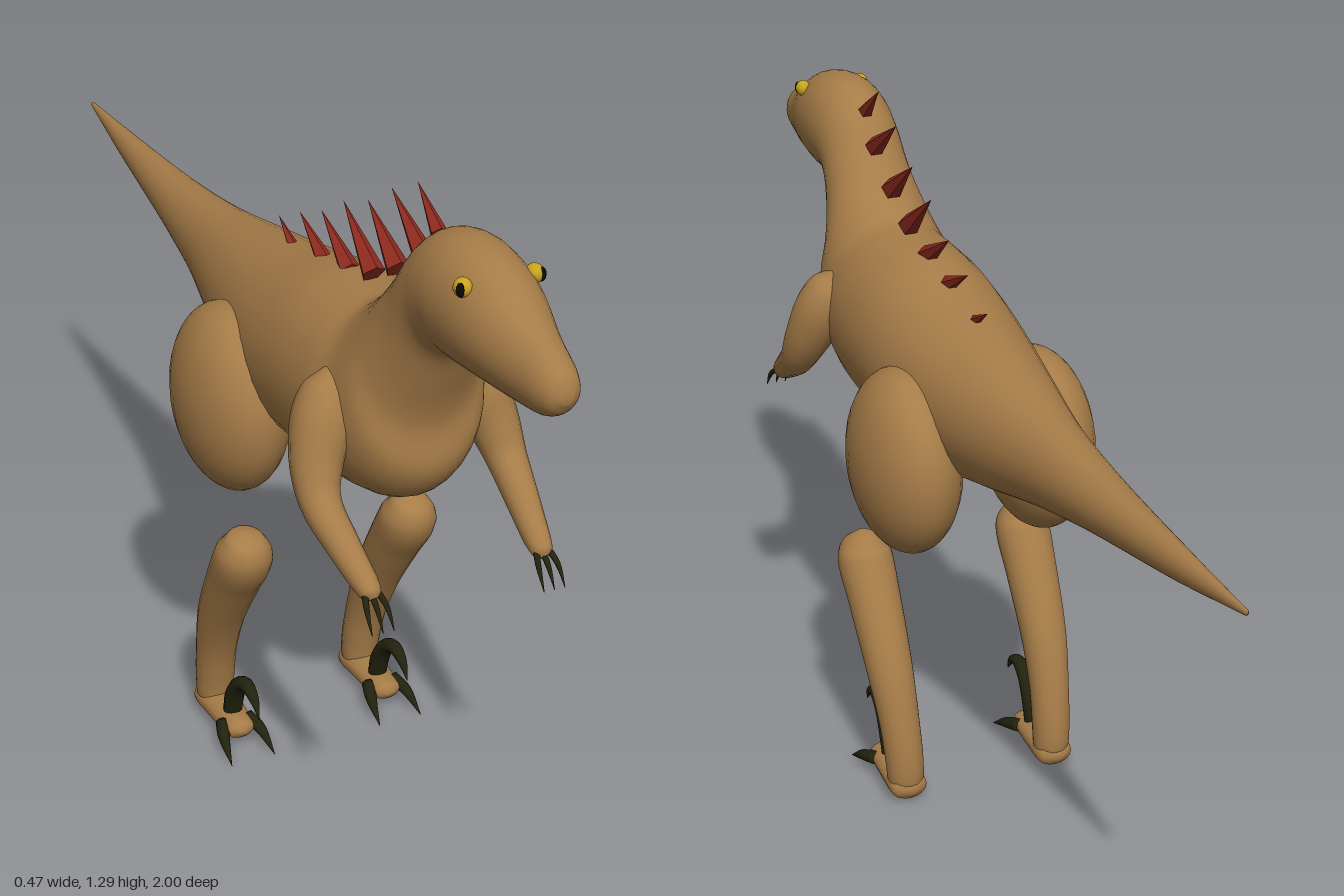
import * as THREE from 'three';

const V = (x, y, z) => new THREE.Vector3(x, y, z);
const mat = (name, color) => Object.assign(new THREE.MeshStandardMaterial({ color }), { name });

// Skin a list of rings {c, u, v} (centre and two radius vectors) into a closed smooth surface
function skinRings(rings, sides) {
  const pos = [], idx = [], n = rings.length;
  for (const { c, u, v } of rings) {
    for (let j = 0; j < sides; j++) {
      const a = (j / sides) * Math.PI * 2;
      const p = c.clone().addScaledVector(u, Math.cos(a)).addScaledVector(v, Math.sin(a));
      pos.push(p.x, p.y, p.z);
    }
  }
  const first = n * sides, last = first + 1;
  pos.push(...rings[0].c.toArray(), ...rings[n - 1].c.toArray());
  for (let j = 0; j < sides; j++) {
    const k = (j + 1) % sides;
    for (let i = 0; i < n - 1; i++) {
      const a = i * sides + j, b = i * sides + k;
      idx.push(a, b, a + sides, b, b + sides, a + sides);
    }
    idx.push(first, k, j, last, (n - 1) * sides + j, (n - 1) * sides + k);
  }
  const g = new THREE.BufferGeometry();
  g.setAttribute('position', new THREE.Float32BufferAttribute(pos, 3));
  g.setIndex(idx);
  g.computeVertexNormals();
  return g;
}

// Tapered round limb through points [x, y, z, radius]; wide stretches it sideways
function limb(points, steps = 24, sides = 16, wide = 1) {
  const path = new THREE.CatmullRomCurve3(points.map(p => V(p[0], p[1], p[2])));
  const radius = new THREE.CatmullRomCurve3(points.map((p, i) => V(p[3], i * 0.05, 0)));
  const rings = [];
  for (let i = 0; i <= steps; i++) {
    const t = i / steps, d = path.getTangent(t), r = Math.max(radius.getPoint(t).x, 0.0005);
    const u = d.clone().cross(V(1, 0, 0)).normalize();
    const v = d.clone().cross(u).normalize();
    rings.push({ c: path.getPoint(t), u: u.multiplyScalar(r), v: v.multiplyScalar(r * wide) });
  }
  return skinRings(rings, sides);
}

// Body sections from tail to snout: top z, top y, bottom z, bottom y, half width
const BODY = [
  [-0.998, 0.903, -0.998, 0.893, 0.004], [-0.8, 0.907, -0.8, 0.852, 0.022],
  [-0.5, 0.916, -0.5, 0.803, 0.05], [-0.3, 0.935, -0.3, 0.76, 0.073],
  [-0.1, 0.968, -0.1, 0.71, 0.112], [0.1, 1.005, 0.1, 0.67, 0.148],
  [0.26, 1.042, 0.26, 0.678, 0.155], [0.37, 1.05, 0.43, 0.695, 0.152],
  [0.42, 1.055, 0.545, 0.73, 0.14], [0.455, 1.075, 0.592, 0.795, 0.128],
  [0.5, 1.115, 0.59, 0.885, 0.108], [0.545, 1.17, 0.62, 0.975, 0.09],
  [0.59, 1.23, 0.655, 1.045, 0.083], [0.64, 1.264, 0.69, 1.065, 0.084],
  [0.71, 1.277, 0.725, 1.066, 0.085], [0.8, 1.26, 0.8, 1.072, 0.077],
  [0.9, 1.21, 0.9, 1.078, 0.053], [0.965, 1.183, 0.96, 1.086, 0.04],
  [0.99, 1.165, 0.985, 1.1, 0.029], [1.0, 1.142, 1.0, 1.122, 0.01],
];

function bodyGeometry() {
  const top = new THREE.CatmullRomCurve3(BODY.map(s => V(0, s[1], s[0])));
  const bottom = new THREE.CatmullRomCurve3(BODY.map(s => V(0, s[3], s[2])));
  const width = new THREE.CatmullRomCurve3(BODY.map((s, i) => V(s[4], i * 0.1, 0)));
  const rings = [], steps = 95;
  for (let i = 0; i <= steps; i++) {
    const t = i / steps, a = top.getPoint(t), b = bottom.getPoint(t);
    rings.push({
      c: a.clone().add(b).multiplyScalar(0.5),
      u: a.clone().sub(b).multiplyScalar(0.5),
      v: V(-width.getPoint(t).x, 0, 0),
    });
  }
  return skinRings(rings, 32);
}

export function createModel() {
  const model = new THREE.Group();
  model.name = 'dinosaur';
  const skin = mat('tan skin', 0xa67c48);
  const red = mat('red spines', 0x8e2a1e);
  const dark = mat('dark claws', 0x22220f);
  const yellow = mat('yellow eyes', 0xc9a21c);
  const black = mat('black pupils', 0x080806);

  const add = (parent, name, geometry, material) => {
    const m = new THREE.Mesh(geometry, material);
    m.name = name;
    parent.add(m);
    return m;
  };
  const ball = (parent, name, material, p, r) => {
    const m = add(parent, name, new THREE.SphereGeometry(1, 28, 20), material);
    m.position.set(...p);
    m.scale.set(...r);
    return m;
  };

  add(model, 'body', bodyGeometry(), skin);

  // Back spines: base z, base y, tip z, tip y, radius
  const spines = [
    [0.59, 1.232, 0.515, 1.292, 0.015], [0.542, 1.172, 0.425, 1.247, 0.02],
    [0.453, 1.112, 0.34, 1.192, 0.022], [0.365, 1.066, 0.247, 1.155, 0.022],
    [0.275, 1.034, 0.16, 1.103, 0.02], [0.175, 1.01, 0.07, 1.065, 0.017],
    [0.06, 0.975, -0.02, 1.022, 0.014],
  ];
  spines.forEach(([z, y, tz, ty, r], i) => {
    const dir = V(0, ty - y, tz - z), len = dir.length();
    const g = new THREE.ConeGeometry(r, len, 5).toNonIndexed();
    g.computeVertexNormals();
    const m = add(model, 'backSpine' + (i + 1), g, red);
    m.position.set(0, (y + ty) / 2, (z + tz) / 2);
    m.quaternion.setFromUnitVectors(V(0, 1, 0), dir.normalize());
  });

  for (const s of [1, -1]) {
    const side = new THREE.Group();
    side.name = s > 0 ? 'leftSide' : 'rightSide';
    model.add(side);

    // Eye with upright pupil
    ball(side, 'eye', yellow, [s * 0.062, 1.233, 0.785], [0.015, 0.016, 0.016]);
    ball(side, 'pupil', black, [s * 0.07, 1.233, 0.793], [0.007, 0.012, 0.0075]);

    // Thigh
    ball(side, 'thigh', skin, [s * 0.136, 0.72, 0.062], [0.1, 0.181, 0.165]);

    // Arm with three fingers
    add(side, 'arm', limb([
      [s * 0.115, 0.955, 0.45, 0.012], [s * 0.125, 0.925, 0.46, 0.045], [s * 0.145, 0.875, 0.475, 0.055],
      [s * 0.168, 0.81, 0.5, 0.046], [s * 0.177, 0.757, 0.535, 0.036], [s * 0.17, 0.71, 0.61, 0.029],
      [s * 0.162, 0.674, 0.675, 0.023], [s * 0.16, 0.662, 0.698, 0.017], [s * 0.16, 0.657, 0.706, 0.004],
    ], 36), skin);
    for (const k of [-1, 0, 1]) {
      add(side, 'fingerClaw', limb([
        [s * 0.16 + k * 0.01, 0.668, 0.69, 0.006], [s * 0.16 + k * 0.018, 0.647, 0.717, 0.005],
        [s * 0.16 + k * 0.02, 0.613, 0.742, 0.0006],
      ], 8, 8), dark);
    }

    // Lower leg and foot
    add(side, 'lowerLeg', limb([
      [s * 0.169, 0.514, 0.207, 0.008], [s * 0.169, 0.502, 0.204, 0.034], [s * 0.169, 0.465, 0.197, 0.054],
      [s * 0.168, 0.39, 0.15, 0.052], [s * 0.166, 0.27, 0.08, 0.046], [s * 0.162, 0.17, 0.042, 0.04],
      [s * 0.159, 0.09, 0.025, 0.038], [s * 0.158, 0.04, 0.022, 0.034], [s * 0.158, 0.014, 0.023, 0.012],
    ], 40, 18), skin);
    add(side, 'foot', limb([
      [s * 0.158, 0.036, -0.015, 0.008], [s * 0.158, 0.036, 0, 0.025], [s * 0.158, 0.038, 0.06, 0.025],
      [s * 0.158, 0.038, 0.12, 0.022], [s * 0.158, 0.037, 0.152, 0.018], [s * 0.158, 0.036, 0.162, 0.005],
    ], 24, 16, 1.45), skin);
    for (const k of [-1, 1]) {
      add(side, 'toeClaw', limb([
        [s * 0.158 + k * 0.026, 0.042, 0.12, 0.014], [s * 0.158 + k * 0.038, 0.032, 0.155, 0.011],
        [s * 0.158 + k * 0.045, 0.003, 0.208, 0.0006],
      ], 10, 10), dark);
    }

    // Raised hooked claw
    add(side, 'sickleClaw', limb([
      [s * 0.157, 0.05, 0.105, 0.016], [s * 0.157, 0.1, 0.118, 0.017], [s * 0.157, 0.14, 0.145, 0.015],
      [s * 0.157, 0.156, 0.18, 0.012], [s * 0.157, 0.144, 0.212, 0.008], [s * 0.157, 0.113, 0.234, 0.0006],
    ], 24, 12, 1.15), dark);
  }
  return model;
}
